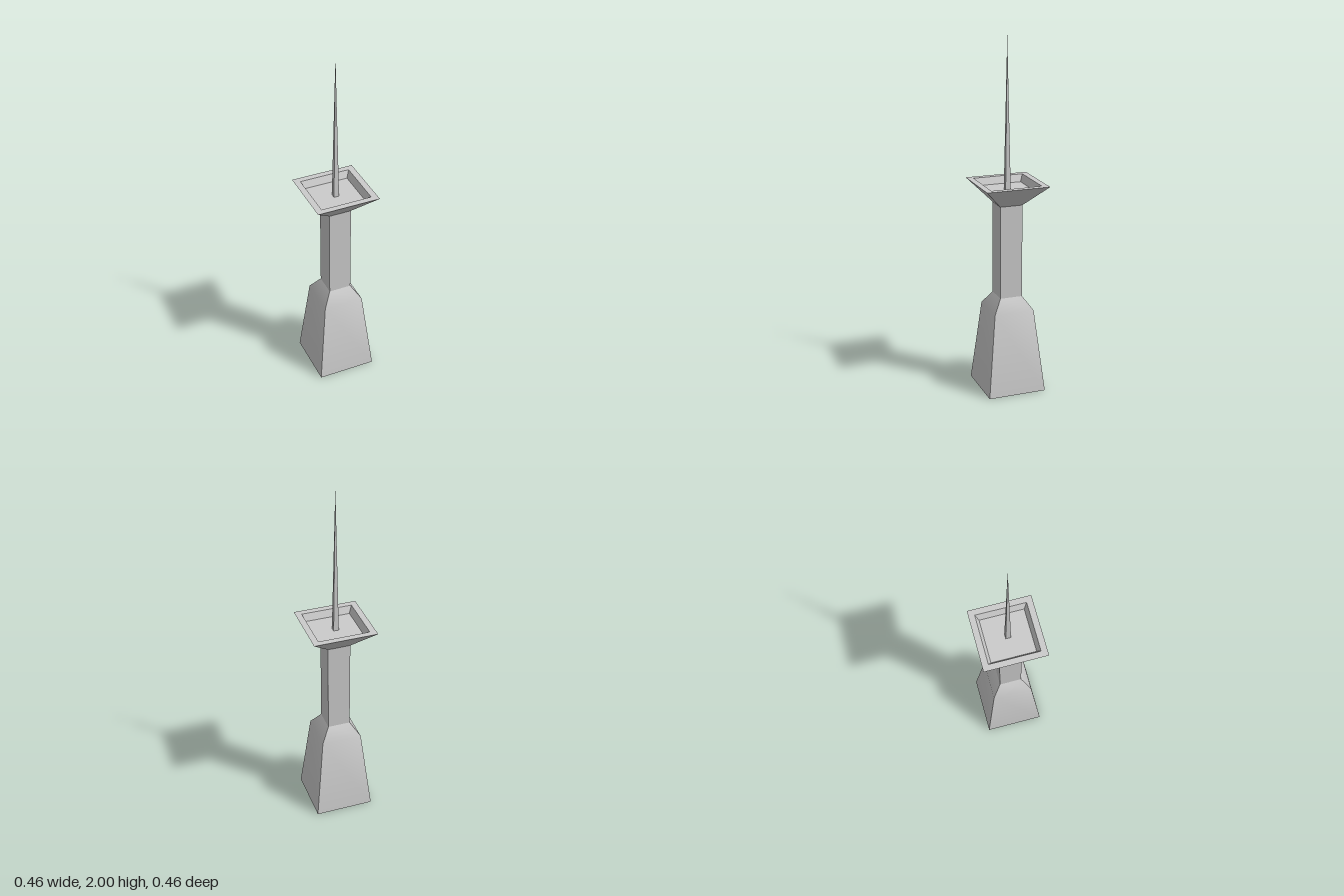
import * as THREE from 'three';
import { toCreasedNormals } from 'three/addons/utils/BufferGeometryUtils.js';

// Four-sided low-poly tower, turned slightly about its vertical axis.
const TURN = THREE.MathUtils.degToRad(24);
const CREASE = THREE.MathUtils.degToRad(30);

export function createModel() {
  const tower = new THREE.Group();
  tower.name = 'tower';
  const material = new THREE.MeshStandardMaterial({ color: 0xcccccc, side: THREE.DoubleSide });

  // Square part from a [corner radius, height] profile listed bottom to top
  const addSquarePart = (name, profile) => {
    const points = profile.map(([r, y]) => new THREE.Vector2(r, y));
    const lathe = new THREE.LatheGeometry(points, 4, TURN);
    const mesh = new THREE.Mesh(toCreasedNormals(lathe, CREASE), material);
    mesh.name = name;
    tower.add(mesh);
  };

  // Tapered base, open below, with a soft shoulder
  addSquarePart('base', [[0.235, 0], [0.162, 0.475], [0.091, 0.55]]);

  // Straight shaft
  addSquarePart('shaft', [[0.091, 0.55], [0.091, 1.08]]);

  // Flared platform with a flat rim and sunken floor
  addSquarePart('platform', [[0.091, 1.08], [0.2545, 1.2], [0.205, 1.2], [0.179, 1.16], [0, 1.16]]);

  // Needle spire standing on the platform floor
  addSquarePart('spire', [[0.021, 1.16], [0, 2]]);

  return tower;
}
